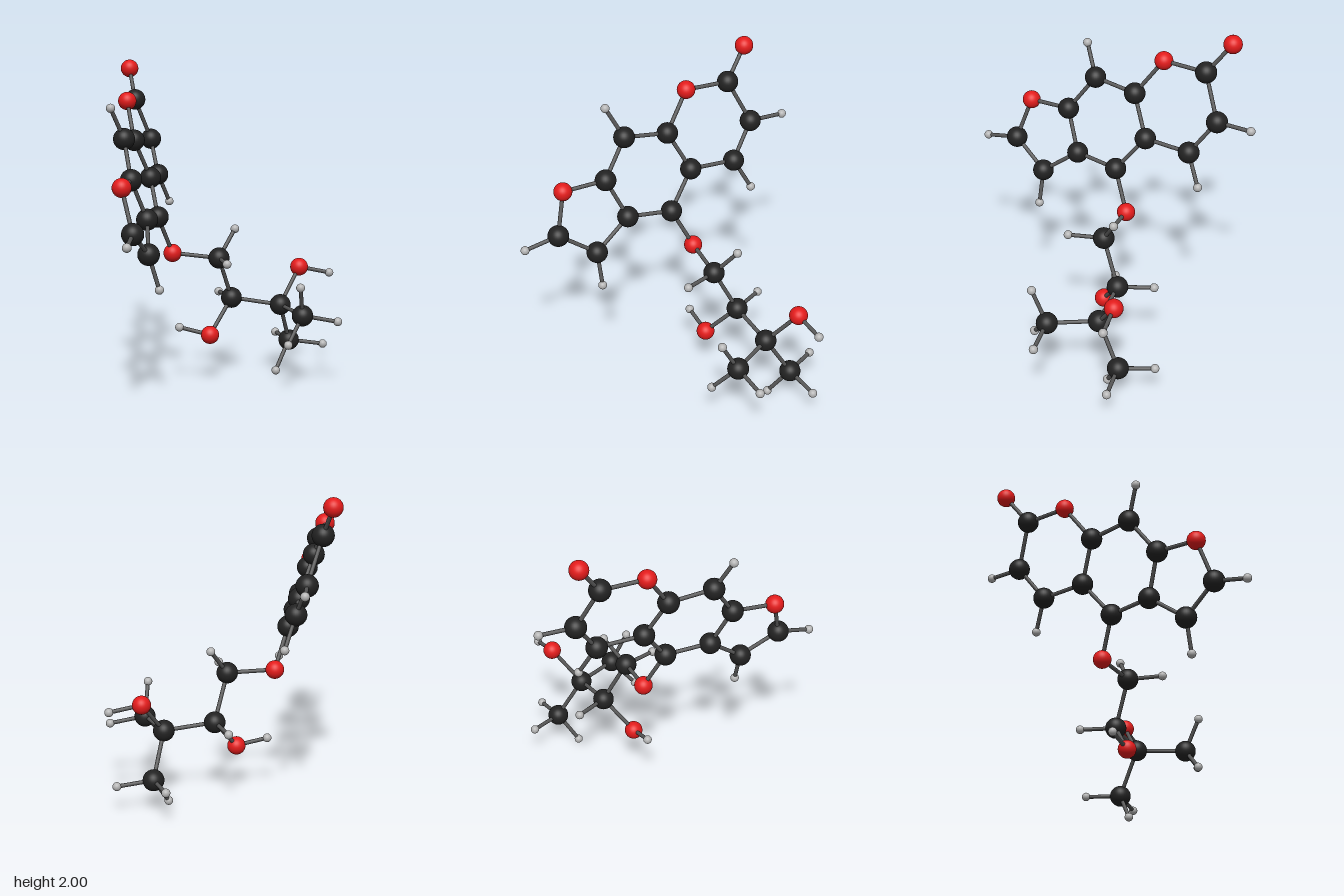
import * as THREE from 'three';

// Atom kinds: radius and colour
const kinds = {
  carbon: { radius: 0.066, color: 0x222222 },
  oxygen: { radius: 0.057, color: 0xe31b1b },
  hydrogen: { radius: 0.027, color: 0xb4b4b4 },
};
const BOND_RADIUS = 0.0125;

// Each atom: position, then the atoms it is bonded to.
// The first letter of its key gives the kind.
const parts = {
  lactoneRing: {
    O1: [[-0.05, 1.765, -0.437], 'C1 C4'],
    C1: [[0.185, 1.755, -0.595], 'O2 C2'],
    O2: [[0.267, 1.947, -0.722], ''],
    C2: [[0.333, 1.49, -0.595], 'C3 H2'],
    C3: [[0.25, 1.275, -0.455], 'C5 H3'],
    H2: [[0.518, 1.487, -0.718], ''],
    H3: [[0.363, 1.087, -0.46], ''],
  },
  middleRing: {
    C4: [[-0.143, 1.535, -0.29], 'C5 C6'],
    C5: [[0.003, 1.29, -0.29], 'C9'],
    C6: [[-0.383, 1.57, -0.142], 'C7 H6'],
    C7: [[-0.475, 1.343, 0.003], 'C8 O3'],
    C8: [[-0.342, 1.093, 0.006], 'C9 C11'],
    C9: [[-0.094, 1.067, -0.136], 'O4'],
    H6: [[-0.495, 1.76, -0.143], ''],
  },
  furanRing: {
    O3: [[-0.707, 1.333, 0.152], 'C10'],
    C10: [[-0.724, 1.077, 0.254], 'C11 H10'],
    C11: [[-0.506, 0.922, 0.172], 'H11'],
    H10: [[-0.902, 1.037, 0.38], ''],
    H11: [[-0.468, 0.712, 0.222], ''],
  },
  sideChain: {
    O4: [[0.043, 0.823, -0.14], 'C12'],
    C12: [[0.21, 0.797, 0.1], 'C13 H12a H12b'],
    H12a: [[0.354, 0.966, 0.108], ''],
    H12b: [[0.078, 0.797, 0.278], ''],
    C13: [[0.357, 0.52, 0.08], 'H13 O5 C14'],
    H13: [[0.463, 0.517, -0.118], ''],
    O5: [[0.158, 0.31, 0.073], 'H5'],
    H5: [[0.033, 0.358, -0.073], ''],
    C14: [[0.565, 0.474, 0.311], 'O6 C15 C16'],
    O6: [[0.757, 0.692, 0.311], 'H7'],
    H7: [[0.894, 0.653, 0.45], ''],
  },
  methylGroups: {
    C15: [[0.43, 0.465, 0.592], 'H15a H15b H15c'],
    H15a: [[0.338, 0.66, 0.645], ''],
    H15b: [[0.273, 0.308, 0.605], ''],
    H15c: [[0.582, 0.425, 0.75], ''],
    C16: [[0.72, 0.21, 0.262], 'H16a H16b H16c'],
    H16a: [[0.585, 0.031, 0.264], ''],
    H16b: [[0.826, 0.213, 0.067], ''],
    H16c: [[0.878, 0.18, 0.418], ''],
  },
};

export function createModel() {
  const model = new THREE.Group();
  model.name = 'molecule';

  // Shared geometry and material per kind
  for (const kind of Object.values(kinds)) {
    kind.geometry = new THREE.SphereGeometry(kind.radius, 32, 20);
    kind.material = new THREE.MeshStandardMaterial({ color: kind.color });
  }
  const bondGeometry = new THREE.CylinderGeometry(BOND_RADIUS, BOND_RADIUS, 1, 16, 1, true);
  const bondMaterial = new THREE.MeshStandardMaterial({ color: 0x555555 });
  const kindOf = (key) => ({ C: 'carbon', O: 'oxygen', H: 'hydrogen' })[key[0]];

  const atoms = Object.assign({}, ...Object.values(parts));
  const at = (key) => new THREE.Vector3(...atoms[key][0]);

  // A rod from one atom centre to another
  function bond(from, to) {
    const a = at(from), b = at(to);
    const mesh = new THREE.Mesh(bondGeometry, bondMaterial);
    mesh.name = 'bond';
    mesh.position.copy(a).lerp(b, 0.5);
    mesh.scale.y = a.distanceTo(b);
    mesh.quaternion.setFromUnitVectors(new THREE.Vector3(0, 1, 0), b.sub(a).normalize());
    return mesh;
  }

  for (const [partName, members] of Object.entries(parts)) {
    const part = new THREE.Group();
    part.name = partName;
    for (const [key, [, links]] of Object.entries(members)) {
      const { geometry, material } = kinds[kindOf(key)];
      const ball = new THREE.Mesh(geometry, material);
      ball.name = kindOf(key) + 'Atom';
      ball.position.copy(at(key));
      part.add(ball);
      for (const other of links.split(' ').filter(Boolean)) part.add(bond(key, other));
    }
    model.add(part);
  }
  return model;
}
